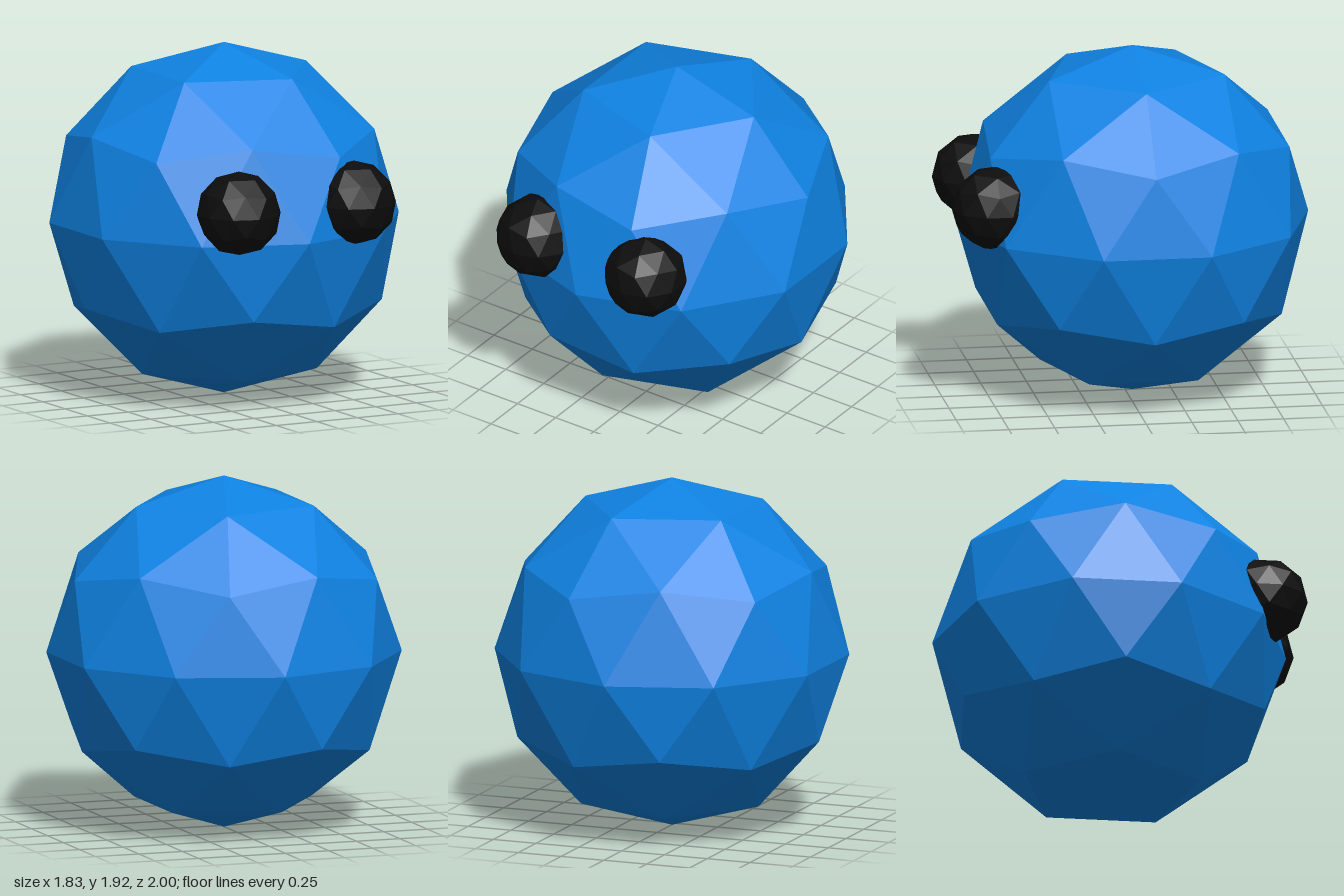
import * as THREE from 'three';

// Faceted ball with a vertex at each pole: an icosahedron subdivided once.
function facetedBall(radius) {
  const vertices = [0, 1, 0];
  const ring = (y, offset) => {
    for (let i = 0; i < 5; i++) {
      const a = offset + (i * Math.PI * 2) / 5;
      const r = 2 / Math.sqrt(5);
      vertices.push(r * Math.cos(a), y, -r * Math.sin(a));
    }
  };
  ring(1 / Math.sqrt(5), 0);            // vertices 1-5
  ring(-1 / Math.sqrt(5), Math.PI / 5); // vertices 6-10
  vertices.push(0, -1, 0);

  const faces = [];
  for (let i = 0; i < 5; i++) {
    const j = (i + 1) % 5;
    faces.push(0, 1 + i, 1 + j);
    faces.push(1 + i, 6 + i, 1 + j);
    faces.push(1 + j, 6 + i, 6 + j);
    faces.push(11, 6 + j, 6 + i);
  }
  const geometry = new THREE.PolyhedronGeometry(vertices, faces, radius, 1);
  geometry.computeVertexNormals(); // unshared corners give flat facets
  return geometry;
}

export function createModel() {
  const group = new THREE.Group();
  group.name = 'roundCreature';

  const blue = new THREE.MeshStandardMaterial({ color: 0x0f82e2 });
  blue.name = 'blue';
  const black = new THREE.MeshStandardMaterial({ color: 0x0d0d0d });
  black.name = 'black';

  // Body
  const body = new THREE.Mesh(facetedBall(0.96), blue);
  body.name = 'body';
  body.position.set(0, 0.96, -0.04);
  group.add(body);

  // Eyes, half sunk into the body
  const eyeGeometry = facetedBall(0.23);
  for (const [name, side] of [['leftEye', 1], ['rightEye', -1]]) {
    const eye = new THREE.Mesh(eyeGeometry, black);
    eye.name = name;
    eye.position.set(side * 0.355, 1.135, 0.77);
    group.add(eye);
  }

  return group;
}
